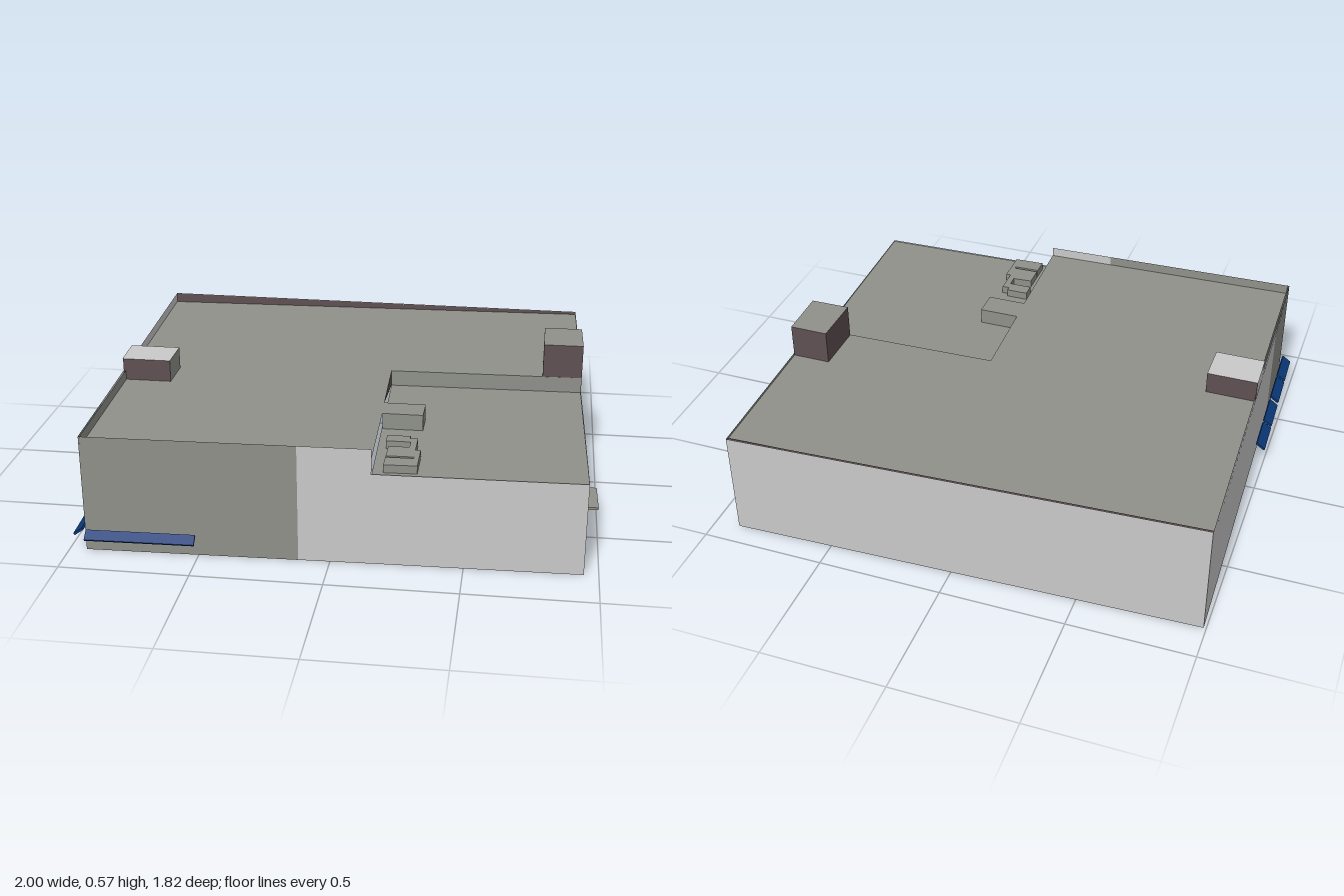
import * as THREE from 'three';

const mat = (name, color) => new THREE.MeshStandardMaterial({ name, color, side: THREE.DoubleSide });

export function createModel() {
  const model = new THREE.Group();
  model.name = 'building';
  const grey = mat('warmGrey', 0x8f918a);
  const white = mat('paleGrey', 0xc9c9c9);
  const brown = mat('darkBrown', 0x5e5052);
  const blue = mat('awningBlue', 0x0b3878);

  const add = (name, geometry, material, parent = model) => {
    const mesh = new THREE.Mesh(geometry, material);
    mesh.name = name;
    parent.add(mesh);
    return mesh;
  };

  // Four-cornered sheet
  const sheet = (name, material, a, b, c, d) => {
    const g = new THREE.BufferGeometry();
    g.setAttribute('position', new THREE.Float32BufferAttribute([a, b, c, d].flat(), 3));
    g.setIndex([0, 1, 2, 0, 2, 3]);
    g.computeVertexNormals();
    return add(name, g, material);
  };

  // Upright wall between two plan points [x, z]
  const wall = (name, material, p, q, low, highP, highQ = highP) =>
    sheet(name, material, [p[0], low, p[1]], [q[0], low, q[1]], [q[0], highQ, q[1]], [p[0], highP, p[1]]);

  // Flat roof from plan points
  const planShape = (points) => new THREE.Shape(points.map(([x, z]) => new THREE.Vector2(x, -z)));
  const roof = (name, material, points, y) => {
    const g = new THREE.ShapeGeometry(planShape(points));
    g.rotateX(-Math.PI / 2);
    g.translate(0, y, 0);
    return add(name, g, material);
  };

  const HIGH = 0.43, LOW = 0.365, TOP = 0.47;

  // Front wall
  wall('frontWallGrey', grey, [-0.935, 0.85], [-0.12, 0.828], 0, TOP);
  wall('frontWallPale', white, [-0.12, 0.828], [0.155, 0.82], 0, TOP);
  wall('frontWallLow', white, [0.155, 0.82], [0.945, 0.802], 0, 0.37);

  // Wall on the +x side, with the tower face in the middle
  wall('sideWallPale', white, [0.945, 0.802], [0.931, 0.26], 0, 0.37);
  wall('sideWallLowGrey', grey, [0.931, 0.26], [0.921, -0.09], 0, 0.37);
  wall('towerOuterWall', grey, [0.921, -0.09], [0.916, -0.3], 0, 0.57);
  wall('sideWallBack', grey, [0.916, -0.3], [0.9, -0.91], 0, 0.44);

  // Back wall and its inner parapet lining
  wall('backWall', white, [0.9, -0.91], [-0.99, -0.85], 0, 0.44, TOP);
  wall('backParapetLining', brown, [0.9, -0.902], [-0.988, -0.842], HIGH, 0.44, TOP);

  // Wall on the -x side
  wall('farSideWallPale', white, [-0.99, -0.85], [-0.945, 0.52], 0, TOP);
  wall('farSideWallGrey', grey, [-0.945, 0.52], [-0.935, 0.85], 0, TOP);
  wall('farSideParapetLining', grey, [-0.948, 0.17], [-0.929, 0.85], HIGH, TOP);

  // Upper and lower roofs
  roof('upperRoof', grey, [
    [-0.99, -0.85], [0.9, -0.91], [0.92, -0.09], [0.13, -0.07], [0.14, 0.28],
    [0.305, 0.28], [0.305, 0.39], [0.145, 0.39], [0.155, 0.82], [-0.935, 0.85],
  ], HIGH);
  roof('lowerRoof', grey, [[0.13, -0.07], [0.92, -0.09], [0.945, 0.8], [0.155, 0.82]], LOW);

  // Step between the roofs, partly open
  wall('roofStep', grey, [0.13, -0.07], [0.92, -0.09], LOW, HIGH);
  wall('roofStepSlope', brown, [0.13, -0.07], [0.14, 0.28], HIGH, LOW, HIGH);
  wall('bayBack', grey, [0.14, 0.28], [0.305, 0.28], LOW, HIGH);
  wall('baySide', grey, [0.305, 0.28], [0.305, 0.39], LOW, HIGH);
  wall('bayFront', grey, [0.305, 0.39], [0.145, 0.39], LOW, HIGH);

  // Small notched block on the lower roof
  const block = new THREE.ExtrudeGeometry(planShape([
    [0.18, 0.52], [0.27, 0.52], [0.27, 0.54], [0.3, 0.54], [0.3, 0.645], [0.32, 0.645],
    [0.32, 0.785], [0.195, 0.79], [0.195, 0.722], [0.3, 0.72], [0.3, 0.708], [0.195, 0.71],
    [0.195, 0.625], [0.275, 0.62], [0.275, 0.575], [0.18, 0.575],
  ]), { depth: 0.032, bevelEnabled: false });
  block.rotateX(-Math.PI / 2);
  block.translate(0, LOW, 0);
  add('roofBlock', block, grey);

  // Tower
  wall('towerFront', brown, [0.76, -0.088], [0.921, -0.09], LOW, 0.57);
  wall('towerInnerSide', brown, [0.76, -0.3], [0.76, -0.088], HIGH, 0.57);
  wall('towerBack', brown, [0.916, -0.3], [0.76, -0.3], HIGH, 0.57);
  roof('towerTop', grey, [[0.76, -0.3], [0.916, -0.3], [0.921, -0.09], [0.76, -0.088]], 0.57);

  // Chimney
  wall('chimneyFront', brown, [-0.957, 0.17], [-0.76, 0.17], HIGH, 0.52);
  wall('chimneyBack', brown, [-0.963, 0.01], [-0.76, 0.01], HIGH, 0.52);
  wall('chimneyInnerSide', grey, [-0.76, 0.01], [-0.76, 0.17], HIGH, 0.52);
  wall('chimneyOuterSide', white, [-0.963, 0.01], [-0.957, 0.17], HIGH, 0.52);
  roof('chimneyTop', white, [[-0.965, 0.01], [-0.76, 0.01], [-0.76, 0.17], [-0.96, 0.17]], 0.52);

  // Sloping awnings: width along the wall, tilted outwards and down
  const awning = (x, z, width, turn, y, drop, reach) => {
    const holder = new THREE.Group();
    holder.name = 'awning';
    holder.position.set(x, y, z);
    holder.rotation.y = turn;
    const panel = add('awningPanel',
      new THREE.BoxGeometry(width, 0.009, Math.hypot(drop, reach)), blue, holder);
    panel.rotation.x = Math.atan2(drop, reach);
    model.add(holder);
  };
  awning(-0.715, 0.882, 0.42, 0.027, 0.08, 0.025, 0.035);
  [0.26, 0.43, 0.61, 0.78].forEach((z) =>
    awning(-0.979 + (z - 0.26) * 0.03, z, 0.155, -Math.PI / 2 + 0.03, 0.077, 0.025, 0.035));
  [-0.37, -0.518, -0.675].forEach((z) =>
    awning(0.931 + (z + 0.37) * 0.03, z, 0.137, Math.PI / 2 + 0.026, 0.11, 0.045, 0.03));

  // Ledge over the side door
  const ledge = add('sideLedge', new THREE.BoxGeometry(0.06, 0.01, 0.178), grey);
  ledge.position.set(0.968, 0.1, 0.363);
  ledge.rotation.y = 0.026;

  return model;
}
